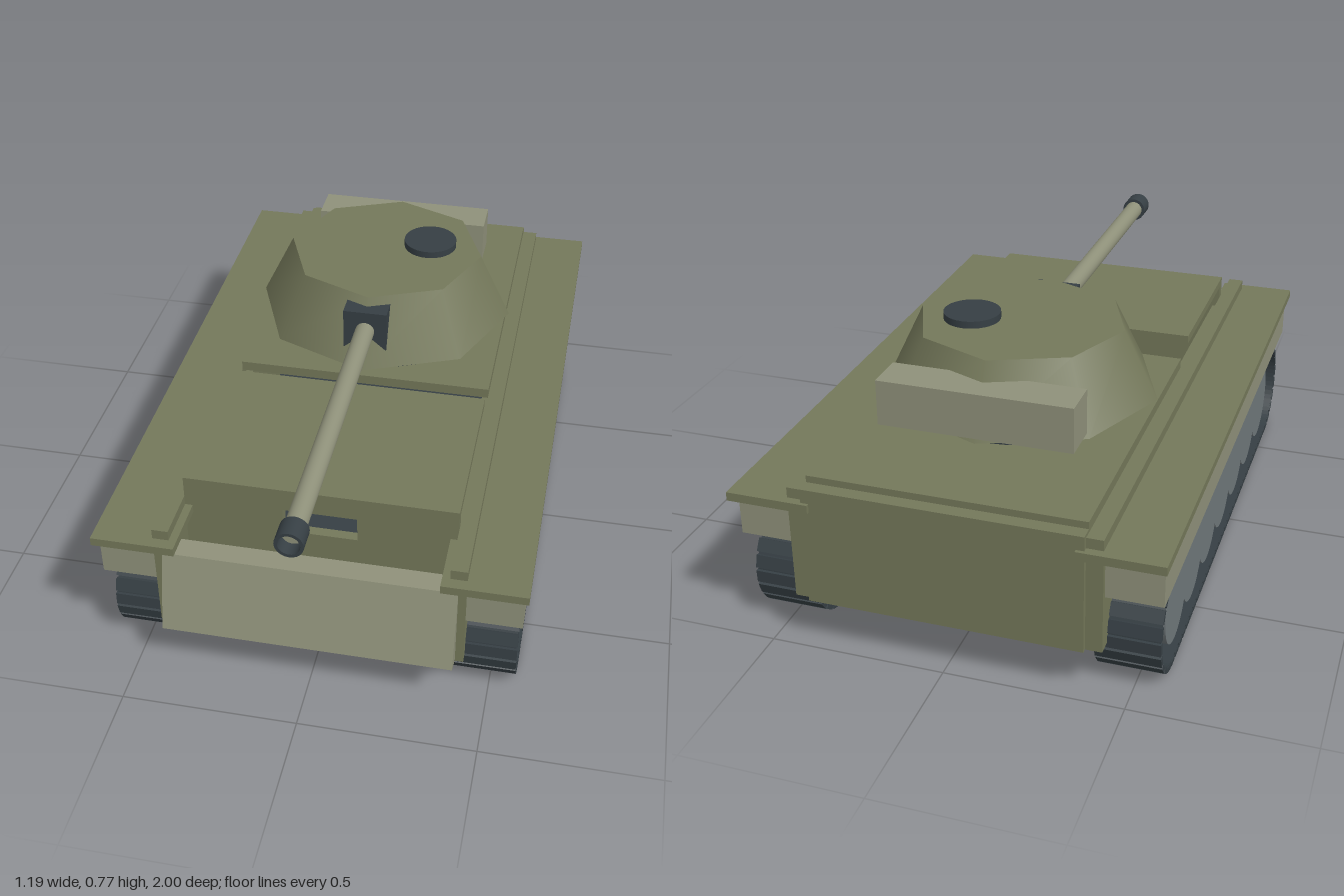
import * as THREE from 'three';

const mat = (color) => new THREE.MeshStandardMaterial({ color });
const olive = mat(0x74785a), pale = mat(0x8f917a), dark = mat(0x363f44), steel = mat(0x70787b);

export function createModel() {
  const model = new THREE.Group();

  const add = (name, geometry, material, parent = model) => {
    const mesh = new THREE.Mesh(geometry, material);
    mesh.name = name;
    parent.add(mesh);
    return mesh;
  };
  // Box given by its extents on each axis
  const box = (name, material, [x0, x1], [y0, y1], [z0, z1], parent) => {
    const g = new THREE.BoxGeometry(x1 - x0, y1 - y0, z1 - z0);
    g.translate((x0 + x1) / 2, (y0 + y1) / 2, (z0 + z1) / 2);
    return add(name, g, material, parent);
  };
  // Side profile of [z, y] points, extruded across x and centred on cx
  const acrossX = (shape, width, cx = 0) => {
    const g = new THREE.ExtrudeGeometry(shape, { depth: width, bevelEnabled: false, curveSegments: 14 });
    g.translate(0, 0, -width / 2);
    g.rotateY(-Math.PI / 2);
    g.translate(cx, 0, 0);
    return g;
  };

  // Hull: dark floor, rear plate, rear deck
  box('floor', dark, [-0.395, 0.395], [0.135, 0.155], [-0.95, 0.82]);
  box('rearPlate', olive, [-0.385, 0.385], [0.145, 0.49], [-0.99, -0.95]);
  box('rearDeck', olive, [-0.385, 0.385], [0.48, 0.51], [-0.95, 0.05]);

  // Front plate with a vision slot, and the raised engine cover behind it
  const plate = new THREE.Shape();
  plate.moveTo(-0.385, 0.15).lineTo(0.385, 0.15).lineTo(0.385, 0.545).lineTo(-0.385, 0.545).closePath();
  const slot = new THREE.Path();
  slot.moveTo(-0.105, 0.4).lineTo(-0.105, 0.475).lineTo(0.105, 0.475).lineTo(0.105, 0.4).closePath();
  plate.holes.push(slot);
  const plateGeo = new THREE.ExtrudeGeometry(plate, { depth: 0.03, bevelEnabled: false });
  plateGeo.translate(0, 0, 0.637);
  add('frontPlate', plateGeo, olive);
  box('frontCover', olive, [-0.385, 0.385], [0.52, 0.545], [0.145, 0.64]);

  // Sloped lower nose
  const nose = new THREE.Shape([[0.755, 0.15], [0.83, 0.15], [0.88, 0.17], [0.82, 0.4], [0.755, 0.4]]
    .map(([z, y]) => new THREE.Vector2(z, y)));
  add('nosePlate', acrossX(nose, 0.816), pale);

  // Running gear: one side built at a time, mirrored by sign
  const R = 0.148, zFront = 0.635, zRear = -0.775, yMid = 0.157;
  const stadium = (path, r) => {
    path.moveTo(zRear, yMid - r);
    path.lineTo(zFront, yMid - r);
    path.absarc(zFront, yMid, r, -Math.PI / 2, Math.PI / 2, false);
    path.lineTo(zRear, yMid + r);
    path.absarc(zRear, yMid, r, Math.PI / 2, Math.PI * 1.5, false);
    return path;
  };
  const linkPath = new THREE.CurvePath();
  linkPath.add(new THREE.LineCurve(new THREE.Vector2(zRear, yMid - R), new THREE.Vector2(zFront, yMid - R)));
  linkPath.add(new THREE.EllipseCurve(zFront, yMid, R, R, -Math.PI / 2, Math.PI / 2));
  linkPath.add(new THREE.LineCurve(new THREE.Vector2(zFront, yMid + R), new THREE.Vector2(zRear, yMid + R)));
  linkPath.add(new THREE.EllipseCurve(zRear, yMid, R, R, Math.PI / 2, Math.PI * 1.5));

  for (const [side, s] of [['left', 1], ['right', -1]]) {
    const group = new THREE.Group();
    group.name = side + 'Side';
    model.add(group);
    const span = (a, b) => (s > 0 ? [a, b] : [-b, -a]);

    box('sideWall', olive, span(0.385, 0.431), [0.145, 0.48], [-0.975, 0.82], group);
    box('fender', olive, span(0.363, 0.597), [0.425, 0.45], [-1, 0.853], group);
    box('skirt', pale, span(0.43, 0.585), [0.305, 0.425], [-0.96, 0.82], group);

    // Track band with separate link plates around it
    const band = stadium(new THREE.Shape(), R);
    band.holes.push(stadium(new THREE.Path(), R - 0.008));
    add('trackBand', acrossX(band, 0.174, s * 0.484), dark, group);
    const links = 84;
    for (let i = 0; i < links; i++) {
      const p = linkPath.getPointAt(i / links), t = linkPath.getTangentAt(i / links);
      const link = add('trackLink', new THREE.BoxGeometry(0.18, 0.014, 0.037), dark, group);
      link.position.set(s * 0.484, p.y, p.x);
      link.rotation.x = -Math.atan2(t.y, t.x);
    }

    // Overlapping road wheels
    for (let i = 0; i < 7; i++) {
      const wheel = add('roadWheel', new THREE.CylinderGeometry(0.125, 0.125, 0.15, 32), steel, group);
      wheel.rotation.z = Math.PI / 2;
      wheel.position.set(s * 0.484, 0.155, 0.55 - i * 0.2075);
    }
  }

  // Turret: eight-sided tapered body on a dark ring
  const turret = new THREE.Group();
  turret.name = 'turret';
  model.add(turret);
  const zT = -0.322;
  add('turretRing', new THREE.CylinderGeometry(0.318, 0.318, 0.05, 40), dark, turret).position.set(0, 0.528, zT);
  add('turretBody', new THREE.CylinderGeometry(0.303, 0.402, 0.2, 8), olive, turret).position.set(0, 0.65, zT);
  add('hatch', new THREE.CylinderGeometry(0.082, 0.082, 0.022, 32), dark, turret).position.set(0.135, 0.76, -0.362);
  box('stowageBin', pale, [-0.277, 0.277], [0.565, 0.697], [-0.725, -0.605], turret);
  box('mantlet', dark, [-0.066, 0.066], [0.598, 0.725], [-0.035, 0.03], turret);

  // Gun barrel with a hollow muzzle collar
  const barrel = add('gunBarrel', new THREE.CylinderGeometry(0.029, 0.029, 0.98, 24), pale, turret);
  barrel.rotation.x = Math.PI / 2;
  barrel.position.set(0, 0.661, 0.47);
  const collar = [[0.029, -0.033], [0.039, -0.033], [0.039, -0.033], [0.039, 0.033], [0.039, 0.033], [0.03, 0.033],
    [0.03, 0.033], [0.03, -0.033]].map(([r, y]) => new THREE.Vector2(r, y));
  const muzzle = add('muzzle', new THREE.LatheGeometry(collar, 24), dark, turret);
  muzzle.rotation.x = Math.PI / 2;
  muzzle.position.set(0, 0.661, 0.967);

  return model;
}
